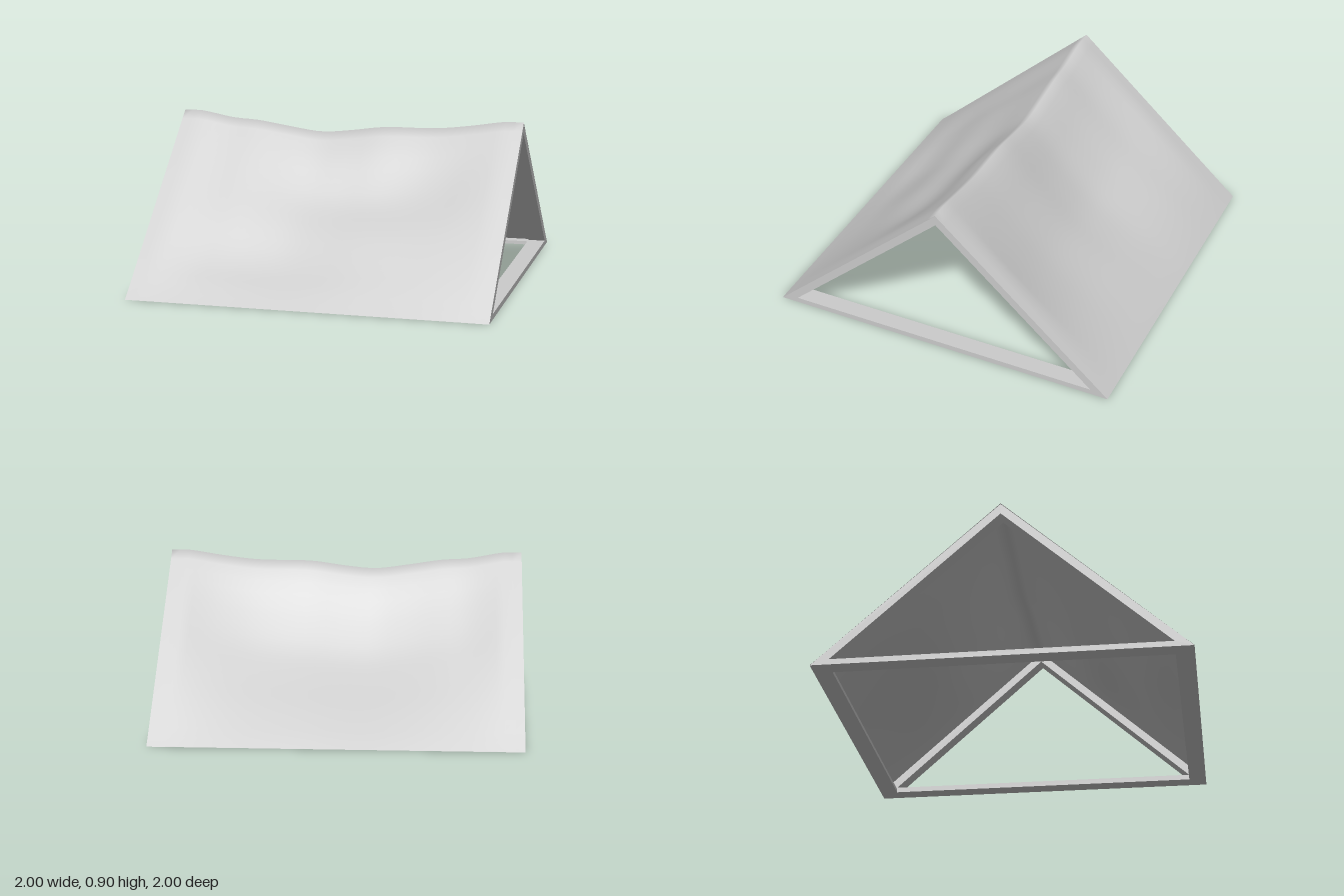
import * as THREE from 'three';

const HEIGHT = 0.9, BAR = 0.1;
const material = new THREE.MeshStandardMaterial({ color: 0xcccccc });
const clothMaterial = new THREE.MeshStandardMaterial({ color: 0xcccccc, side: THREE.DoubleSide });

// Smooth cubic curve through a short list of [position, value] pairs, flat at both ends, never negative
function curve(points, t) {
  const slope = (i) => {
    if (i === 0 || i === points.length - 1) return 0;
    const [a, va] = points[i - 1], [b, vb] = points[i + 1];
    return (vb - va) / (b - a);
  };
  let i = 0;
  while (i < points.length - 2 && t > points[i + 1][0]) i++;
  const [a, va] = points[i], [b, vb] = points[i + 1];
  const w = b - a, s = THREE.MathUtils.clamp((t - a) / w, 0, 1), r = 1 - s;
  const value = va * r * r * (1 + 2 * s) + vb * s * s * (3 - 2 * s) + w * s * r * (slope(i) * r - slope(i + 1) * s);
  return Math.max(0, value);
}

// Sag of the ridge along x
const ridgeSag = [[-1, 0], [-0.9, 0], [-0.7, 0.035], [-0.55, 0.045], [-0.35, 0.075], [-0.17, 0.097],
  [0, 0.083], [0.2, 0.057], [0.5, 0.052], [0.7, 0.03], [0.9, 0], [1, 0]];
// Extra sag of the back slope, by distance from the ridge
const backSag = [[0, 0], [0.235, 0.08], [0.4, 0.112], [0.56, 0.09], [0.78, 0.035], [0.95, 0.003], [1, 0]];
// Hollows in the front slope: [x, z, width, length, depth]
const frontHollows = [[0.22, 0.34, 0.45, 0.17, 0.06], [-0.3, 0.72, 0.5, 0.17, 0.03]];

// Drop of the cloth below the straight slope
function sagAt(x, z) {
  const d = Math.abs(z);
  const inside = Math.max(0, 1 - (x / 0.9) ** 2);
  let sag = curve(ridgeSag, x) * (1 - d);
  if (z < 0) return sag + inside * curve(backSag, d);
  sag += 0.025 * inside * Math.sin(Math.PI * d);
  for (const [cx, cz, w, l, depth] of frontHollows) {
    const edge = Math.min(1, inside * 2) * Math.min(1, d * 5, (1 - d) * 5);
    sag += depth * edge * Math.exp(-(((x - cx) / w) ** 2) - ((z - cz) / l) ** 2);
  }
  return sag;
}

// Draped cloth: a folded sheet that hangs between the frame bars
function makeCover() {
  const geometry = new THREE.PlaneGeometry(2, 2, 40, 40).rotateX(-Math.PI / 2);
  const p = geometry.attributes.position;
  for (let i = 0; i < p.count; i++) {
    const x = p.getX(i), z = p.getZ(i);
    p.setY(i, Math.max(0.002, HEIGHT * (1 - Math.abs(z)) - sagAt(x, z)));
  }
  geometry.computeVertexNormals();
  const cover = new THREE.Mesh(geometry, clothMaterial);
  cover.name = 'clothCover';
  return cover;
}

function polygon(points, Type = THREE.Shape) {
  return new Type(points.map(([a, b]) => new THREE.Vector2(a, b)));
}

// Extrudes a (z, y) outline along x from x0 to x1
function extrudeAlongX(shape, x0, x1, name) {
  const geometry = new THREE.ExtrudeGeometry(shape, { depth: x1 - x0, bevelEnabled: false });
  geometry.rotateY(-Math.PI / 2).translate(x1, 0, 0);
  const mesh = new THREE.Mesh(geometry, material);
  mesh.name = name;
  return mesh;
}

export function createModel() {
  const model = new THREE.Group();
  model.name = 'tent';
  model.add(makeCover());

  // Triangular end frames
  const triangle = polygon([[-1, 0], [1, 0], [0, HEIGHT - 0.004]]);
  triangle.holes.push(polygon([[-0.9, 0.03], [0, 0.838], [0.9, 0.03]], THREE.Path));
  model.add(extrudeAlongX(triangle, 1 - BAR, 1, 'leftEndFrame'));
  model.add(extrudeAlongX(triangle, -1, BAR - 1, 'rightEndFrame'));

  // Flat ground rails under the lower edges of the cloth
  for (const s of [1, -1]) {
    const rail = polygon([[s, 0], [s * 0.9, 0], [s * 0.9, 0.02], [s * 0.97, 0.02]]);
    model.add(extrudeAlongX(rail, BAR - 1, 1 - BAR, s > 0 ? 'frontRail' : 'backRail'));
  }
  return model;
}
